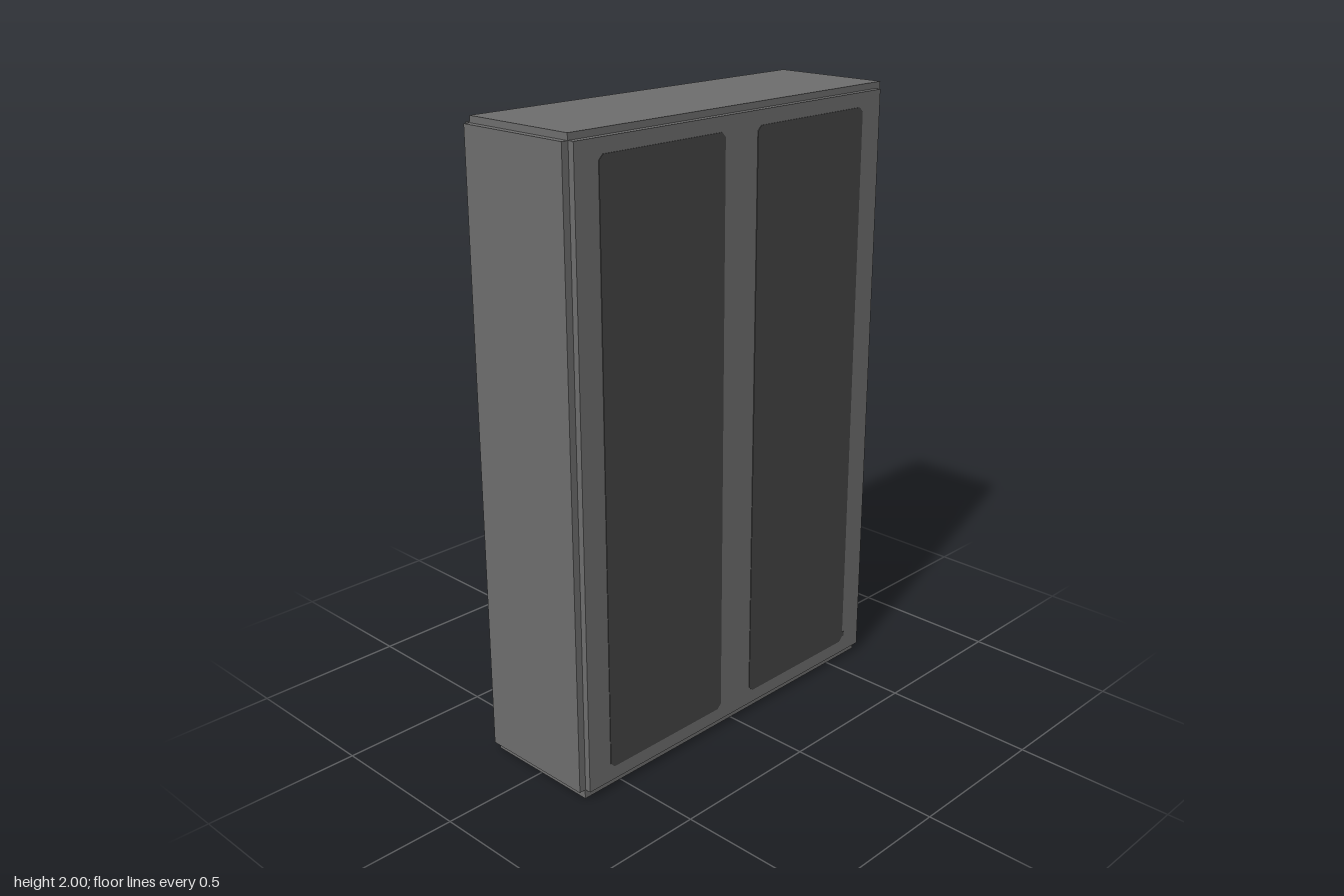
import * as THREE from 'three';

export function createModel() {
  const model = new THREE.Group();
  const casing = new THREE.MeshStandardMaterial({ color: 0x6e6e6e });
  casing.name = 'grey casing';
  const inset = new THREE.MeshStandardMaterial({ color: 0x454545 });
  inset.name = 'dark grey inset';

  // box given by its lower and upper corners
  function slab(name, [x0, y0, z0], [x1, y1, z1]) {
    const geometry = new THREE.BoxGeometry(x1 - x0, y1 - y0, z1 - z0);
    geometry.translate((x0 + x1) / 2, (y0 + y1) / 2, (z0 + z1) / 2);
    const mesh = new THREE.Mesh(geometry, casing);
    mesh.name = name;
    model.add(mesh);
  }

  // cabinet core with a raised slab on each side
  slab('core', [-0.2, 0, -0.645], [0.2, 2, 0.645]);
  slab('leftPanel', [0.2, 0.03, -0.643], [0.22, 1.98, 0.643]);
  slab('rightPanel', [-0.22, 0.03, -0.643], [-0.2, 1.98, 0.643]);
  slab('frontPanel', [-0.2, 0.03, 0.645], [0.2, 1.98, 0.666]);
  // the back slab runs flush with the top
  slab('backPanel', [-0.2, 0.03, -0.667], [0.2, 2, -0.645]);

  // dark door insets with clipped corners; u runs along -z
  function doorInset(name, u0, u1, withTab) {
    const y0 = 0.075, y1 = 1.935, c = 0.015;
    const points = [[u0 + c, y0], [u1 - c, y0], [u1, y0 + c]];
    if (withTab) points.push([u1 + 0.01, y0 + c], [u1 + 0.01, y0 + 0.032], [u1, y0 + 0.032]);
    points.push([u1, y1 - c], [u1 - c, y1], [u0 + c, y1], [u0, y1 - c], [u0, y0 + c]);
    const shape = new THREE.Shape(points.map(([u, y]) => new THREE.Vector2(u, y)));
    const geometry = new THREE.ExtrudeGeometry(shape, { depth: 0.002, bevelEnabled: false });
    geometry.rotateY(Math.PI / 2).translate(0.22, 0, 0);
    const mesh = new THREE.Mesh(geometry, inset);
    mesh.name = name;
    model.add(mesh);
  }
  doorInset('frontDoorInset', -0.557, -0.07, false);
  doorInset('backDoorInset', 0.068, 0.555, true);

  return model;
}
